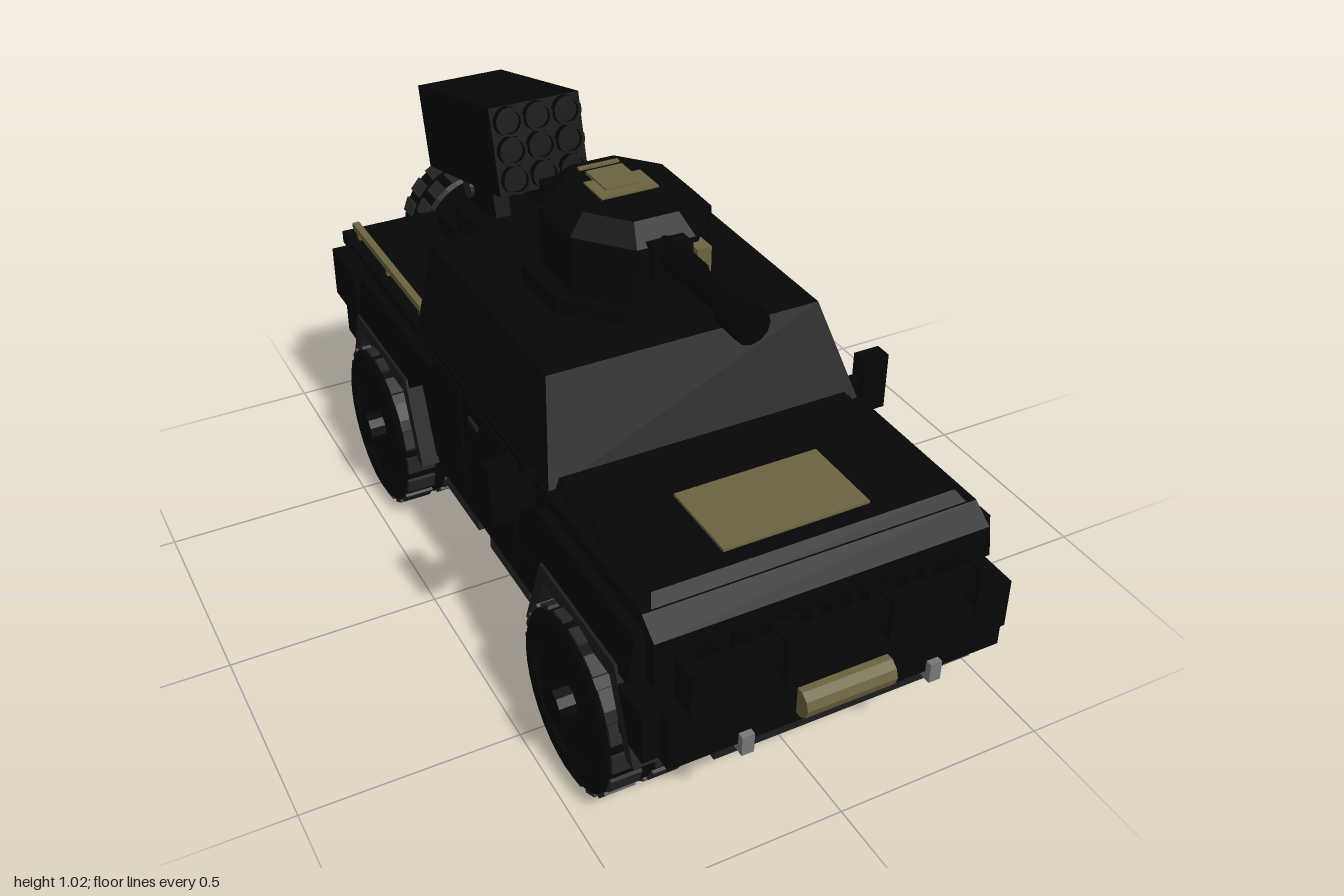
import * as THREE from 'three';
import { mergeGeometries } from 'three/addons/utils/BufferGeometryUtils.js';

const paint = (color) => new THREE.MeshStandardMaterial({ color, flatShading: true });
const dark = paint(0x060606), black = paint(0x040404), trim = paint(0x1c1c1c), lug = paint(0x262626);
const tan = paint(0x6b6340), grey = paint(0x777777), orange = paint(0xb5651d);

function add(parent, name, geo, mat, x = 0, y = 0, z = 0) {
  const m = new THREE.Mesh(geo, mat);
  m.name = name;
  m.position.set(x, y, z);
  parent.add(m);
  return m;
}

// Box given by its ranges on each axis
function block(parent, name, mat, x0, x1, y0, y1, z0, z1) {
  return add(parent, name, new THREE.BoxGeometry(x1 - x0, y1 - y0, z1 - z0), mat,
    (x0 + x1) / 2, (y0 + y1) / 2, (z0 + z1) / 2);
}

// The same block on both sides of the centre line
function pair(parent, name, mat, x0, x1, ...r) {
  block(parent, name + 'Left', mat, x0, x1, ...r);
  block(parent, name + 'Right', mat, -x1, -x0, ...r);
}

// Block whose bottom and top rectangles differ: [halfWidth, zBack, zFront, y]
function frustum(parent, name, mat, bottom, top) {
  const geo = new THREE.BoxGeometry(2, 2, 2), p = geo.attributes.position;
  for (let i = 0; i < p.count; i++) {
    const [w, zb, zf, y] = p.getY(i) > 0 ? top : bottom;
    p.setXYZ(i, p.getX(i) * w, y, p.getZ(i) > 0 ? zf : zb);
  }
  geo.computeVertexNormals();
  return add(parent, name, geo, mat);
}

// Side outline of [z, y] points, extruded across x0..x1
function sideExtrude(points, x0, x1) {
  const shape = new THREE.Shape(points.map(([z, y]) => new THREE.Vector2(z, y)));
  return new THREE.ExtrudeGeometry(shape, { depth: x1 - x0, bevelEnabled: false })
    .rotateY(-Math.PI / 2).translate(x1, 0, 0);
}

const cylX = (r, len, n = 16) => new THREE.CylinderGeometry(r, r, len, n).rotateZ(Math.PI / 2);
const cylZ = (r, len, n = 16) => new THREE.CylinderGeometry(r, r, len, n).rotateX(Math.PI / 2);

// Wheel with its outer side towards +x
function makeWheel(name) {
  const g = new THREE.Group();
  g.name = name;
  const profile = [[0, -0.085], [0.14, -0.085], [0.15, -0.094], [0.185, -0.094], [0.199, -0.084],
    [0.199, 0.084], [0.185, 0.094], [0.15, 0.094], [0.14, 0.085], [0, 0.08]];
  const tire = new THREE.LatheGeometry(profile.map(([r, y]) => new THREE.Vector2(r, y)), 32);
  add(g, 'tire', tire.rotateZ(-Math.PI / 2), dark);
  const lugs = [];
  for (let row = 0; row < 2; row++) for (let i = 0; i < 18; i++) {
    lugs.push(new THREE.BoxGeometry(0.07, 0.02, 0.044)
      .translate(row ? 0.05 : -0.05, 0.195, 0).rotateX((i + row / 2) * Math.PI / 9));
  }
  add(g, 'treadLugs', mergeGeometries(lugs), lug);
  add(g, 'hub', cylX(0.042, 0.07, 12), black, 0.085);
  return g;
}

export function createModel() {
  const car = new THREE.Group();
  car.name = 'armouredCar';

  // Hull with wheel arches, cab and hood
  const outline = [[0.42, 0.3], [0.48, 0.42], [0.89, 0.42], [0.89, 0.53], [0.84, 0.565], [-0.82, 0.565],
    [-0.82, 0.26], [-0.7, 0.26], [-0.63, 0.42], [-0.31, 0.42], [-0.25, 0.3]];
  add(car, 'hull', sideExtrude(outline, -0.385, 0.385), dark);
  block(car, 'wheelBay', black, -0.265, 0.265, 0.28, 0.43, -0.8, 0.88);
  pair(car, 'sill', dark, 0.28, 0.386, 0.22, 0.32, -0.24, 0.4);
  frustum(car, 'cab', dark, [0.38, -0.32, 0.42, 0.56], [0.33, -0.32, 0.31, 0.77]);
  frustum(car, 'hood', dark, [0.37, 0.4, 0.85, 0.555], [0.35, 0.4, 0.81, 0.583]);
  block(car, 'hoodPanel', tan, -0.17, 0.17, 0.575, 0.59, 0.57, 0.77);
  block(car, 'cabRearBox', black, -0.18, 0.18, 0.56, 0.72, -0.37, -0.31);
  add(car, 'cabRearBoxTop', cylX(0.025, 0.36, 10), black, 0, 0.715, -0.345);
  for (const s of [-1, 1]) {
    for (const z of [0.13, -0.17]) {
      block(car, 'doorPanel', dark, s * 0.386 - 0.004, s * 0.386 + 0.004, 0.25, 0.55, z - 0.13, z + 0.13);
      block(car, 'doorHandle', trim, s * 0.391 - 0.005, s * 0.391 + 0.005, 0.5, 0.512, z - 0.11, z - 0.06);
    }
  }

  // Fenders, angular flares, wheels and axles
  const arch = [[-0.25, 0.23], [-0.17, 0.435], [0.17, 0.435], [0.25, 0.23], [0.22, 0.23], [0.15, 0.395],
    [-0.15, 0.395], [-0.22, 0.23]];
  for (const [z, end] of [[0.645, 'front'], [-0.465, 'rear']]) {
    for (const s of [-1, 1]) {
      const x0 = s > 0 ? 0.36 : -0.43;
      add(car, end + 'Flare', sideExtrude(arch, x0, x0 + 0.07), trim, 0, 0, z);
      const wheel = makeWheel(end + 'Wheel');
      wheel.position.set(s * 0.367, 0.207, z);
      wheel.rotation.y = s > 0 ? 0 : Math.PI;
      car.add(wheel);
    }
    add(car, end + 'Axle', cylX(0.03, 0.62, 10), black, 0, 0.207, z);
    add(car, end + 'Differential', new THREE.SphereGeometry(0.08, 8, 6), black, 0, 0.207, z);
  }
  frustum(car, 'frontFenders', dark, [0.425, 0.45, 0.86, 0.42], [0.41, 0.42, 0.86, 0.53]);
  frustum(car, 'rearFenders', dark, [0.425, -0.66, -0.28, 0.42], [0.41, -0.74, -0.17, 0.54]);

  // Front end
  block(car, 'bumper', dark, -0.39, 0.39, 0.27, 0.4, 0.82, 0.96);
  pair(car, 'bumperEnd', dark, 0.37, 0.43, 0.28, 0.4, 0.83, 0.93);
  block(car, 'skidPlate', trim, -0.27, 0.27, 0.215, 0.27, 0.83, 0.93);
  block(car, 'lowerPlate', black, -0.27, 0.27, 0.17, 0.22, 0.78, 0.84);
  add(car, 'winchDrum', cylX(0.034, 0.21, 10), tan, 0, 0.328, 0.966);
  pair(car, 'towHook', grey, 0.207, 0.235, 0.25, 0.298, 0.93, 0.975);
  block(car, 'grille', black, -0.22, 0.22, 0.41, 0.5, 0.88, 0.905);
  for (let i = -4; i <= 4; i++) block(car, 'grilleSlat', dark, i * 0.045 - 0.01, i * 0.045 + 0.01, 0.41, 0.5, 0.9, 0.915);
  block(car, 'brushGuardBar', dark, -0.35, 0.35, 0.44, 0.485, 0.92, 0.955);
  for (const x of [0.12, 0.33]) pair(car, 'brushGuardPost', dark, x - 0.018, x + 0.018, 0.38, 0.495, 0.905, 0.965);
  for (const s of [-1, 1]) add(car, 'headlight', cylZ(0.038, 0.03), black, s * 0.29, 0.465, 0.9);
  pair(car, 'mirror', dark, 0.425, 0.49, 0.48, 0.62, 0.33, 0.372);
  pair(car, 'mirrorBracket', dark, 0.37, 0.43, 0.49, 0.57, 0.34, 0.362);

  // Cargo bed, rails and rear fittings
  block(car, 'tailgateLip', dark, -0.387, 0.387, 0.54, 0.572, -0.84, -0.8);
  pair(car, 'bedRail', tan, 0.346, 0.364, 0.583, 0.6, -0.82, -0.34);
  for (const z of [-0.79, -0.58, -0.35]) pair(car, 'railPost', tan, 0.349, 0.361, 0.55, 0.59, z - 0.008, z + 0.008);
  pair(car, 'tailLight', orange, 0.28, 0.335, 0.455, 0.483, -0.828, -0.815);
  block(car, 'rearBumper', dark, -0.39, 0.39, 0.26, 0.34, -0.86, -0.8);
  block(car, 'rearTowHook', grey, -0.03, 0.03, 0.26, 0.295, -0.9, -0.85);
  add(car, 'exhaustPipe', cylZ(0.033, 0.3, 12), black, -0.205, 0.225, -0.735);
  block(car, 'fuelCan', dark, 0.38, 0.44, 0.4, 0.56, -0.82, -0.74);
  block(car, 'fuelCanLid', tan, 0.39, 0.43, 0.555, 0.567, -0.79, -0.745);
  block(car, 'stowageBox', dark, -0.43, -0.38, 0.42, 0.55, -0.8, -0.64);
  const spare = makeWheel('spareWheel');
  spare.scale.set(0.74, 0.86, 0.86);
  spare.rotation.y = Math.PI / 2;
  spare.position.set(0, 0.487, -0.9);
  car.add(spare);
  add(car, 'spareHubCap', cylZ(0.035, 0.03, 12), black, 0, 0.487, -0.985);

  // Chassis
  pair(car, 'chassisRail', trim, 0.16, 0.2, 0.19, 0.29, -0.8, 0.85);
  block(car, 'rearFloor', trim, -0.24, 0.24, 0.255, 0.29, -0.8, -0.28);
  block(car, 'frontFloor', trim, -0.24, 0.24, 0.255, 0.29, 0.4, 0.84);
  add(car, 'driveShaft', cylZ(0.02, 1.1, 8), black, 0, 0.22, 0.09);
  pair(car, 'frontStep', lug, 0.28, 0.38, 0.175, 0.225, 0.08, 0.3);
  pair(car, 'rearStep', lug, 0.28, 0.38, 0.175, 0.225, -0.19, 0.01);

  // Turret: eight-sided ring and body, cannon, sight and hatch
  const turret = new THREE.Group();
  turret.name = 'turret';
  car.add(turret);
  const octagon = (r0, r1, h) => new THREE.CylinderGeometry(r1, r0, h, 8).rotateY(Math.PI / 8).scale(1.082, 1, 1.082);
  add(turret, 'turretRing', octagon(0.208, 0.208, 0.045), dark, 0, 0.788, 0.01);
  add(turret, 'turretBody', octagon(0.17, 0.17, 0.14), dark, 0, 0.88, 0.025).scale.z = 1.18;
  add(turret, 'turretRoof', octagon(0.17, 0.13, 0.042), dark, 0, 0.971, 0.015).scale.z = 1.18;
  block(turret, 'turretRearBox', dark, -0.1, 0.1, 0.835, 0.935, -0.21, -0.15);
  block(turret, 'gunMantlet', dark, -0.045, 0.045, 0.88, 0.96, 0.18, 0.25);
  add(turret, 'gunBarrel', cylZ(0.028, 0.34, 12), black, 0, 0.935, 0.37);
  add(turret, 'gunSleeve', cylZ(0.034, 0.1, 12), black, 0, 0.935, 0.29);
  add(turret, 'muzzleBrake', cylZ(0.042, 0.08, 12), black, 0, 0.935, 0.525);
  block(turret, 'gunSight', tan, 0.05, 0.085, 0.88, 0.943, 0.19, 0.258);
  block(turret, 'gunSightFoot', tan, 0.04, 0.085, 0.877, 0.892, 0.19, 0.258);
  block(turret, 'hatch', tan, -0.07, 0.07, 0.98, 0.996, -0.04, 0.05);
  block(turret, 'hatchLid', tan, -0.045, 0.045, 0.985, 1.0, -0.08, 0.02);
  block(turret, 'hatchHinge', tan, -0.05, 0.05, 0.98, 0.997, -0.113, -0.1);

  // Rocket launcher on its pedestal, raised towards the front
  block(car, 'launcherBase', dark, -0.15, 0.15, 0.55, 0.61, -0.76, -0.47);
  add(car, 'launcherTurntable', new THREE.CylinderGeometry(0.14, 0.145, 0.065, 16), dark, 0, 0.637, -0.615);
  const pod = new THREE.Group();
  pod.name = 'rocketPod';
  pod.position.set(0, 0.853, -0.654);
  pod.rotation.x = -0.25;
  car.add(pod);
  block(pod, 'podCase', dark, -0.118, 0.118, -0.108, 0.108, -0.257, 0.235);
  pair(pod, 'podBracket', dark, 0.05, 0.09, -0.19, -0.1, -0.06, 0.11);
  add(car, 'launcherPivot', cylX(0.026, 0.2, 12), lug, 0, 0.71, -0.665);
  const tube = [[0, -0.03], [0.036, -0.03], [0.036, 0.025], [0.028, 0.025], [0.028, 0.012], [0, 0.012]];
  for (const x of [-1, 0, 1]) for (const y of [-1, 0, 1]) {
    const geo = new THREE.LatheGeometry(tube.map(([r, h]) => new THREE.Vector2(r, h)), 14);
    add(pod, 'launchTube', geo.rotateX(Math.PI / 2), black, x * 0.076, y * 0.071, 0.232);
  }
  return car;
}
